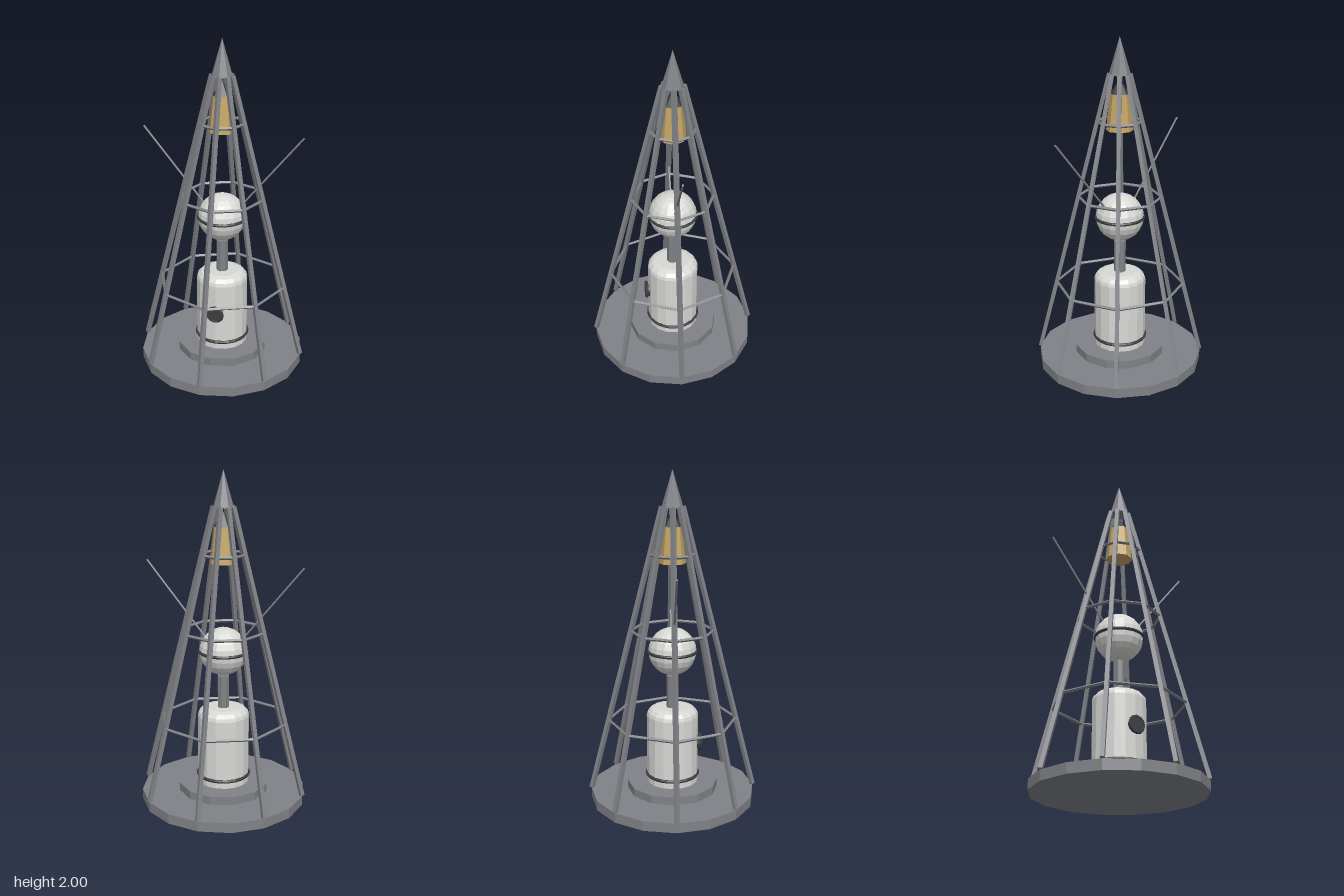
import * as THREE from 'three';

const mat = (name, color) => {
  const m = new THREE.MeshStandardMaterial({ color, flatShading: true });
  m.name = name;
  return m;
};

export function createModel() {
  const model = new THREE.Group();
  const steel = mat('steel grey', 0x808287);
  const white = mat('off white', 0xd8d8d5);
  const dark = mat('dark grey', 0x3c3e40);
  const gold = mat('gold', 0xc4a565);

  const add = (name, geometry, material, x = 0, y = 0, z = 0) => {
    const mesh = new THREE.Mesh(geometry, material);
    mesh.name = name;
    mesh.position.set(x, y, z);
    model.add(mesh);
    return mesh;
  };
  // upright cylinder or cone between two heights
  const drum = (name, rBottom, rTop, y0, y1, sides, material) =>
    add(name, new THREE.CylinderGeometry(rTop, rBottom, y1 - y0, sides), material, 0, (y0 + y1) / 2);
  // horizontal ring
  const ring = (name, radius, tube, y, tubeSides, sides, material) =>
    add(name, new THREE.TorusGeometry(radius, tube, tubeSides, sides).rotateX(Math.PI / 2), material, 0, y);
  // straight bar between two points
  const bar = (name, a, b, radius, sides, material) => {
    const dir = b.clone().sub(a);
    const mesh = add(name, new THREE.CylinderGeometry(radius, radius, dir.length(), sides), material);
    mesh.position.copy(a).add(b).multiplyScalar(0.5);
    mesh.quaternion.setFromUnitVectors(new THREE.Vector3(0, 1, 0), dir.normalize());
  };

  // stepped base
  drum('base', 0.5, 0.5, 0, 0.06, 16, steel);
  drum('baseStep', 0.275, 0.275, 0.06, 0.11, 12, steel);

  // tank with a rounded shoulder
  const profile = [[0, 0.11], [0.156, 0.11], [0.156, 0.535], [0.15, 0.555], [0.131, 0.575], [0.1, 0.584], [0, 0.584]]
    .map(([r, y]) => new THREE.Vector2(r, y));
  add('tank', new THREE.LatheGeometry(profile, 16), white);
  ring('tankBand', 0.155, 0.011, 0.157, 6, 24, dark);

  // porthole on the front of the tank
  add('portholeGlass', new THREE.CylinderGeometry(0.045, 0.045, 0.03, 12).rotateX(Math.PI / 2), dark, 0, 0.355, 0.16);
  add('portholeRim', new THREE.TorusGeometry(0.045, 0.011, 6, 12), dark, 0, 0.355, 0.167);

  // neck and sphere
  drum('neck', 0.036, 0.036, 0.58, 0.782, 8, steel);
  add('sphere', new THREE.SphereGeometry(0.144, 16, 12), white, 0, 0.934);
  ring('sphereBand', 0.142, 0.01, 0.934, 6, 24, dark);

  // antennae
  for (const s of [1, -1]) {
    bar('antenna', new THREE.Vector3(s * 0.08, 0.97, 0), new THREE.Vector3(s * 0.476, 1.46, 0), 0.006, 6, steel);
  }

  // hanging bell-shaped capsule
  drum('capsule', 0.079, 0.055, 1.464, 1.677, 8, gold);
  drum('capsuleCap', 0.055, 0.002, 1.677, 1.76, 8, dark);

  // conical cage: struts, hoops and nose
  const low = { r: 0.498, y: 0.065 }, high = { r: 0.06, y: 1.79 };
  const radiusAt = (y) => low.r + (high.r - low.r) * (y - low.y) / (high.y - low.y);
  for (let i = 0; i < 8; i++) {
    const a = i * Math.PI / 4;
    const at = (p) => new THREE.Vector3(Math.cos(a) * p.r, p.y, Math.sin(a) * p.r);
    bar('strut', at(low), at(high), 0.017, 4, steel);
  }
  for (const y of [0.507, 1.06, 1.515]) ring('hoop', radiusAt(y), 0.01, y, 4, 8, steel);
  drum('nose', 0.063, 0, 1.785, 2, 8, steel);

  return model;
}
